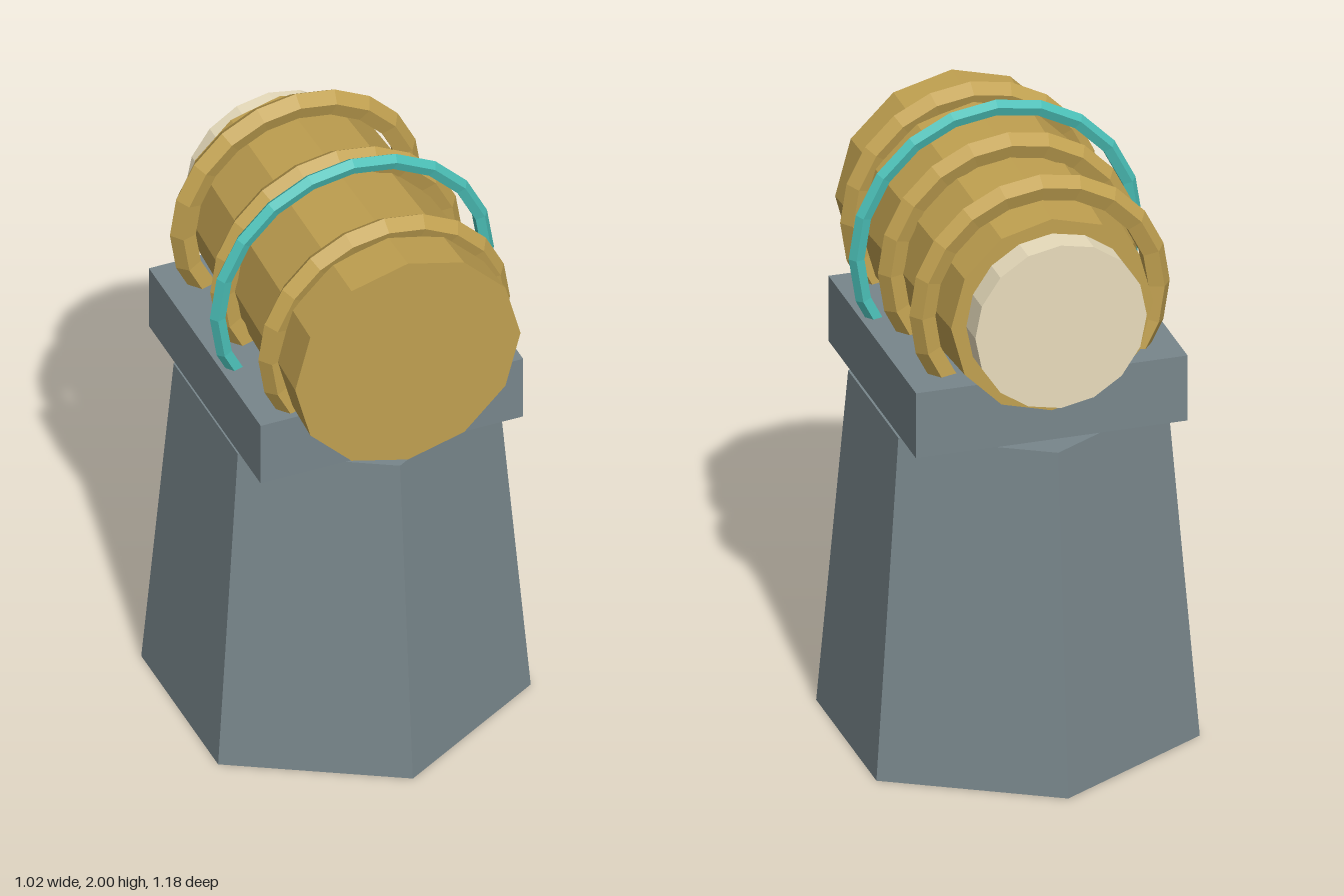
import * as THREE from 'three';

const material = (color) => new THREE.MeshStandardMaterial({ color, flatShading: true });

export function createModel() {
  const model = new THREE.Group();
  const stone = material(0x78868b);
  const brass = material(0xc0a050);
  const teal = material(0x4abdb5);
  const glass = material(0xe8dcbc);
  const axisY = 1.537; // height of the barrel axis

  const add = (name, geometry, mat, y, z = 0) => {
    const mesh = new THREE.Mesh(geometry, mat);
    mesh.name = name;
    mesh.position.set(0, y, z);
    model.add(mesh);
  };

  // Tapered hexagonal pedestal and the square cradle just above it
  add('pedestal', new THREE.CylinderGeometry(0.49, 0.588, 1.105, 6), stone, 0.5525);
  add('cradle', new THREE.BoxGeometry(0.855, 0.216, 0.855), stone, 1.229);

  // Barrel widening to the front, with a lens disc at the back
  add('barrel', new THREE.CylinderGeometry(0.367, 0.318, 0.98, 12).rotateX(Math.PI / 2), brass, axisY, 0.06);
  add('lens', new THREE.CylinderGeometry(0.27, 0.27, 0.1, 16).rotateX(Math.PI / 2), glass, axisY, -0.468);

  // Raised bands around the barrel
  for (const z of [0.368, 0, -0.308]) {
    add('barrelBand', new THREE.TorusGeometry(0.369, 0.041, 5, 20), brass, axisY, z);
  }

  // Larger free-standing ring
  add('outerRing', new THREE.TorusGeometry(0.438, 0.025, 5, 20), teal, axisY, 0.121);

  return model;
}
